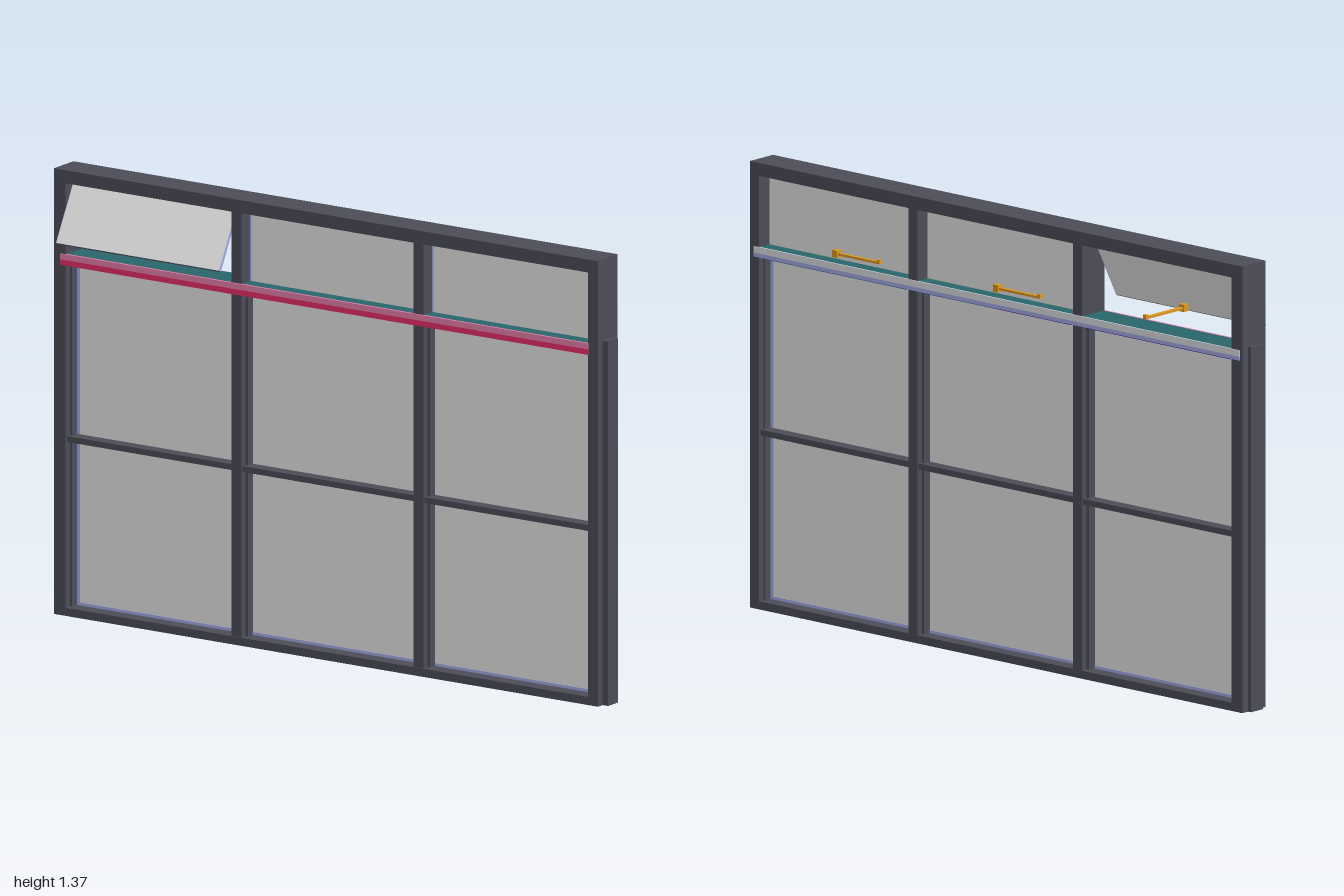
import * as THREE from 'three';

const mat = (name, color) => {
  const m = new THREE.MeshStandardMaterial({ color });
  m.name = name;
  return m;
};

export function createModel() {
  const frameMat = mat('dark frame', 0x4c4c58);
  const glassMat = mat('pale glass', 0xe6e6e6);
  const pink = mat('deep pink', 0xf0306e);
  const lightPink = mat('light pink', 0xe680ac);
  const teal = mat('teal', 0x28666a);
  const pale = mat('pale grey', 0xe0e2ea);
  const peri = mat('periwinkle', 0xaab2ee);
  const gold = mat('gold', 0xde9820);
  const navy = mat('navy', 0x2c5a9c);
  const purple = mat('purple', 0x3a0a9c);

  const model = new THREE.Group();
  model.name = 'window';

  // Box given by its lower and upper limits on each axis
  const box = (name, m, [x0, x1], [y0, y1], [z0, z1], parent = model) => {
    const mesh = new THREE.Mesh(new THREE.BoxGeometry(x1 - x0, y1 - y0, z1 - z0), m);
    mesh.position.set((x0 + x1) / 2, (y0 + y1) / 2, (z0 + z1) / 2);
    mesh.name = name;
    parent.add(mesh);
  };

  // Outer frame
  const deep = [-0.05, 0.053];
  box('headRail', frameMat, [-0.988, 0.98], [1.33, 1.37], deep);
  box('sill', frameMat, [-0.988, 0.98], [0, 0.025], deep);
  box('sideStile', frameMat, [-0.988, -0.945], [0.025, 1.33], deep);
  box('sideStile', frameMat, [0.943, 0.98], [0.025, 1.33], deep);
  for (const s of [-1, 1]) {
    const span = (a, b) => (s > 0 ? [a, b] : [-b, -a]);
    box('sideStrip', frameMat, span(0.978, 1), [0, 1.12], [-0.024, 0.029]);
    box('sideBead', frameMat, span(0.937, 0.945), [0.025, 1.08], [-0.03, 0.03]);
    box('mullion', frameMat, span(0.311, 0.347), [0.025, 1.33], [-0.049, 0.05]);
    box('mullionBead', frameMat, span(0.302, 0.357), [0.025, 1.08], [-0.03, 0.03]);
  }
  box('middleRail', frameMat, [-0.945, 0.945], [0.533, 0.551], [-0.045, 0.045]);

  // Transom with a differently coloured finish on each side
  box('transomCore', frameMat, [-0.945, 0.945], [1.08, 1.108], [-0.047, 0.047]);
  box('transomFrontUpper', lightPink, [-0.965, 0.945], [1.094, 1.112], [0.047, 0.0545]);
  box('transomFrontLower', pink, [-0.965, 0.945], [1.077, 1.094], [0.047, 0.0545]);
  box('transomBackUpper', pale, [-0.978, 0.965], [1.092, 1.112], [-0.0515, -0.047]);
  box('transomBackLower', peri, [-0.978, 0.965], [1.08, 1.092], [-0.0515, -0.047]);
  const bays = [[-0.945, -0.347], [-0.311, 0.311], [0.347, 0.945]];
  for (const bay of bays) box('transomTop', teal, bay, [1.107, 1.112], [-0.047, 0.047]);
  for (const [a, b, m] of [[-0.937, -0.357, purple], [-0.302, 0, purple], [0, 0.302, navy], [0.357, 0.937, navy]])
    box('transomUnderside', m, [a, b], [1.077, 1.081], [-0.047, 0.047]);

  // Fixed glass
  for (const bay of [[-0.937, -0.357], [-0.302, 0.302], [0.357, 0.937]]) {
    box('lowerPane', glassMat, bay, [0.025, 0.533], [-0.004, 0.004]);
    box('upperPane', glassMat, bay, [0.551, 1.077], [-0.004, 0.004]);
    box('sillSeal', peri, bay, [0.025, 0.034], [-0.0055, 0.0055]);
  }
  for (const bay of bays.slice(1)) {
    box('ventPane', glassMat, bay, [1.111, 1.33], [-0.004, 0.004]);
    box('ventSeal', peri, [bay[0], bay[0] + 0.006], [1.111, 1.33], [-0.0055, 0.0055]);
  }
  for (const x of [-0.932, 0.932])
    for (const y of [[0.025, 0.533], [0.551, 1.077]])
      box('sideSeal', peri, [x - 0.006, x + 0.006], y, [-0.0055, 0.0055]);

  // Open vent, hinged at the head and swung outwards
  const vent = new THREE.Group();
  vent.name = 'openVent';
  vent.position.set(-0.65, 1.33, 0.006);
  vent.rotation.x = -0.49;
  box('openPane', glassMat, [-0.295, 0.295], [-0.198, 0], [-0.004, 0.004], vent);
  for (const x of [-0.295, 0.295])
    box('openPaneEdge', peri, [x - 0.001, x + 0.001], [-0.198, 0], [-0.0042, 0.0042], vent);
  box('openPaneFoot', frameMat, [-0.295, 0.295], [-0.2, -0.198], [-0.004, 0.004], vent);
  model.add(vent);

  // Stay arm: a bar with a block at one end and a small peg at the other
  const stay = (x, y, z, turn) => {
    const g = new THREE.Group();
    g.name = 'stay';
    box('stayBlock', gold, [-0.01, 0.01], [-0.011, 0.011], [-0.01, 0.01], g);
    box('stayBar', gold, [-0.175, 0], [-0.004, 0.003], [-0.006, 0.006], g);
    box('stayPeg', gold, [-0.175, -0.163], [-0.004, 0.009], [-0.006, 0.006], g);
    g.position.set(x, y, z);
    g.rotation.y = turn;
    model.add(g);
  };
  stay(-0.642, 1.165, 0.075, -Math.PI / 2);
  stay(0.005, 1.138, -0.033, 0);
  stay(0.648, 1.138, -0.033, 0);

  return model;
}
